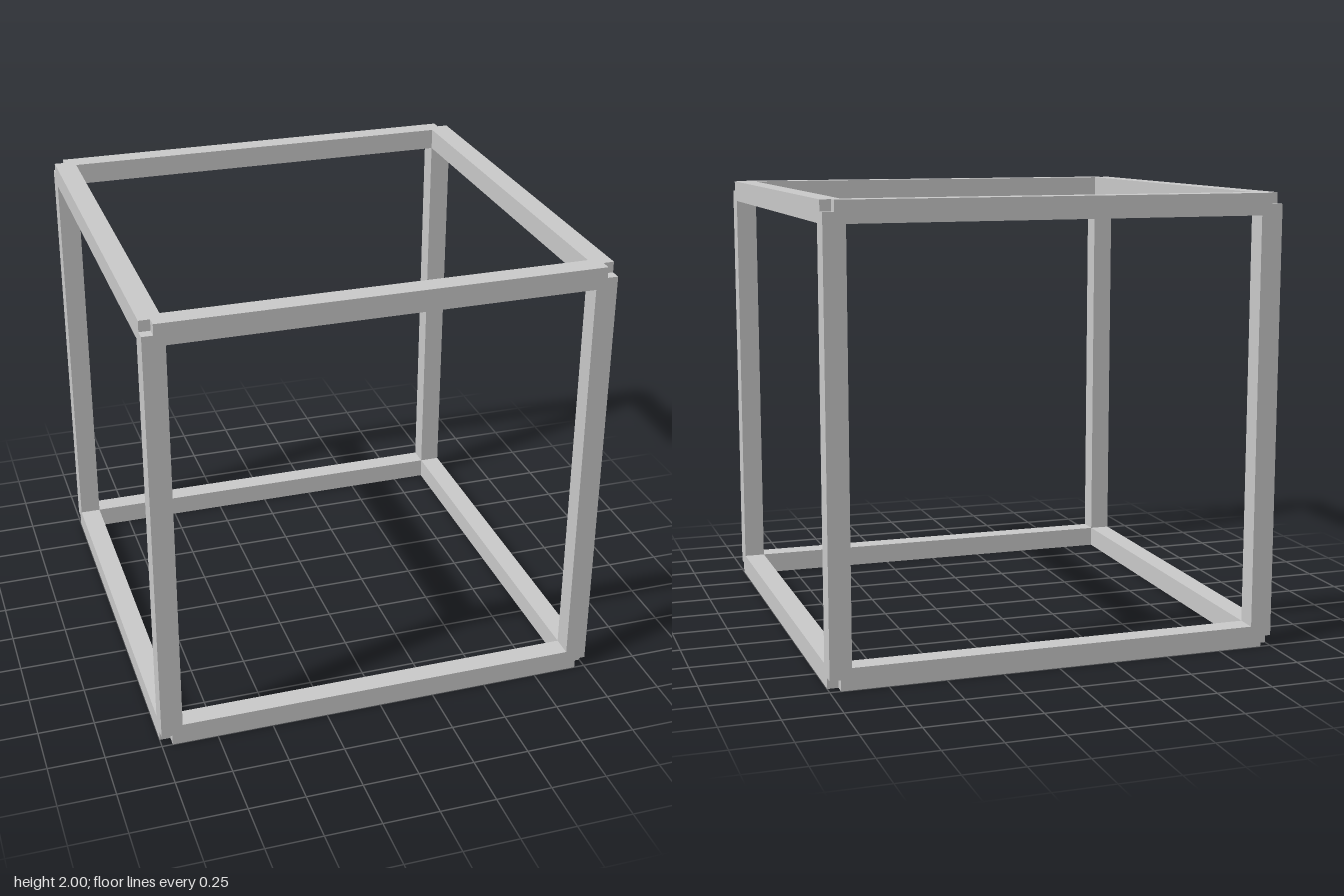
import * as THREE from 'three';

const BAR = 0.095;          // bar thickness
const C = 1 - BAR / 2;      // distance of the bar centre lines from the middle

export function createModel() {
  const model = new THREE.Group();
  model.name = 'cubeFrame';
  const material = new THREE.MeshStandardMaterial({ color: 0xcccccc, flatShading: true });

  // Four parallel bars per axis, each ending on the neighbouring centre lines,
  // which leaves a small notch at every outer corner.
  const names = { x: 'crossBar', y: 'uprightPost', z: 'depthBar' };
  for (const axis of ['x', 'y', 'z']) {
    const [u, v] = ['x', 'y', 'z'].filter((a) => a !== axis);
    const size = new THREE.Vector3(BAR, BAR, BAR);
    size[axis] = 2 * C;
    const geometry = new THREE.BoxGeometry(size.x, size.y, size.z);

    let count = 1;
    for (const su of [-1, 1]) {
      for (const sv of [-1, 1]) {
        const bar = new THREE.Mesh(geometry, material);
        bar.name = names[axis] + count++;
        bar.position[u] = su * C;
        bar.position[v] = sv * C;
        bar.position.y += 1;
        model.add(bar);
      }
    }
  }
  return model;
}
